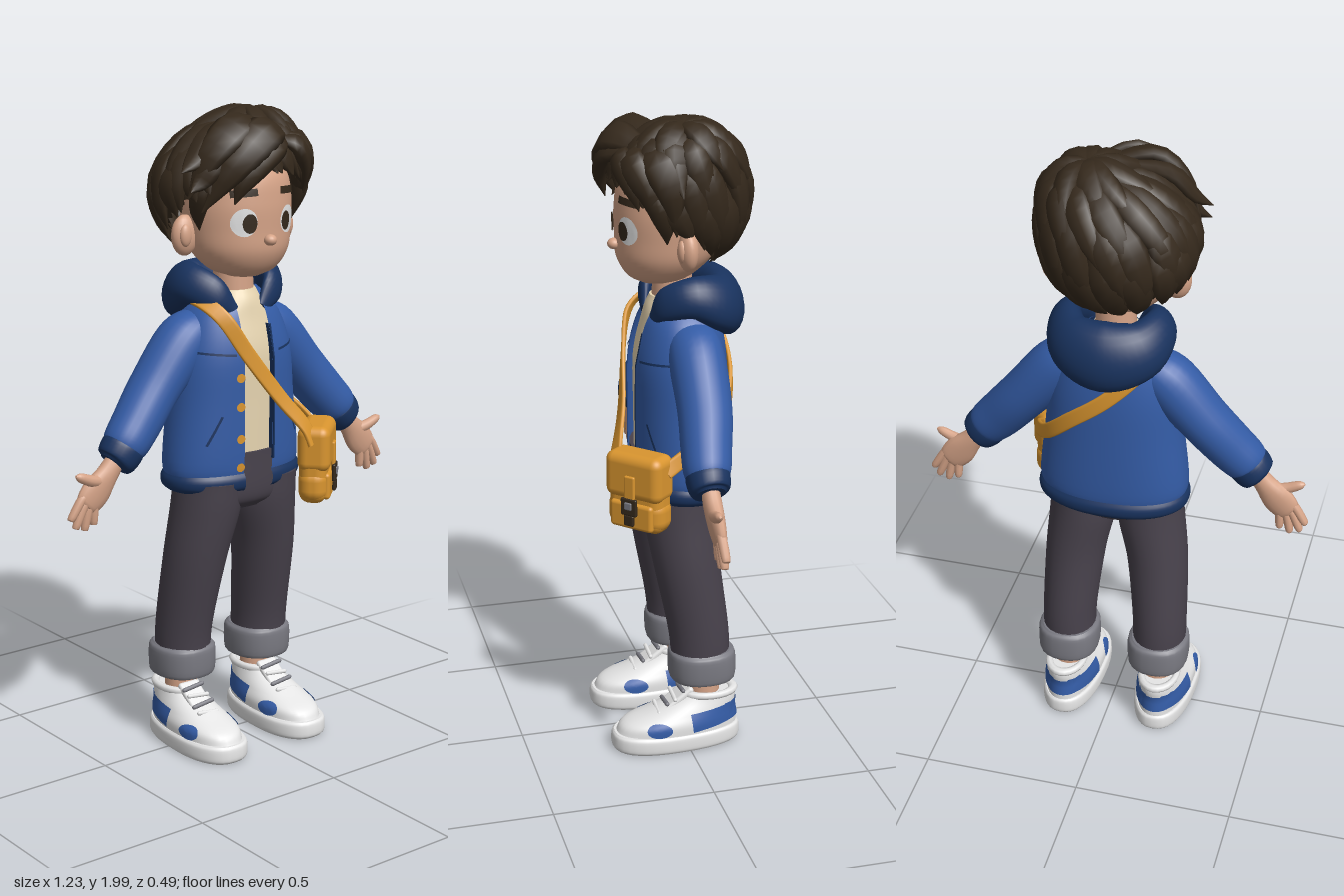
import * as THREE from 'three';
import { RoundedBoxGeometry } from 'three/addons/geometries/RoundedBoxGeometry.js';

const V = (x, y, z) => new THREE.Vector3(x, y, z);
const FRONT = () => V(0, 0, 1), UP = () => V(0, 1, 0);

// Sweeps an ellipse through rows of [x, y, z, radiusA, radiusB].
// flat keeps every ring level, gap leaves a slit of that half width at the front.
function sweep(rows, { n = 24, steps = 28, flat = false, ref = FRONT, gap = 0, p = 2 } = {}) {
  const path = new THREE.CatmullRomCurve3(rows.map(r => V(r[0], r[1], r[2])), false, 'catmullrom');
  const size = new THREE.CatmullRomCurve3(rows.map(r => V(r[3], r[4], 0)), false, 'catmullrom');
  const pos = [], index = [], cols = gap ? n + 1 : n;
  const pw = c => Math.sign(c) * Math.abs(c) ** (2 / p);
  for (let i = 0; i <= steps; i++) {
    const c = path.getPoint(i / steps), s = size.getPoint(i / steps);
    const t = flat ? UP() : path.getTangent(i / steps);
    const v = ref(c).clone();
    v.addScaledVector(t, -v.dot(t)).normalize();
    const u = t.clone().cross(v);
    const g = gap ? Math.asin(Math.min(0.95, gap / s.x)) : 0;
    for (let j = 0; j < cols; j++) {
      const a = Math.PI / 2 + g + (2 * Math.PI - 2 * g) * j / n;
      const q = c.clone().addScaledVector(u, pw(Math.cos(a)) * Math.max(s.x, 0.001))
        .addScaledVector(v, pw(Math.sin(a)) * Math.max(s.y, 0.001));
      pos.push(q.x, q.y, q.z);
    }
  }
  for (let i = 0; i < steps; i++) for (let j = 0; j < n; j++) {
    const k = (j + 1) % cols, a = i * cols + j, b = i * cols + k;
    index.push(a, a + cols, b, b, a + cols, b + cols);
  }
  // End caps with their own vertices, so the edge stays crisp
  if (!gap) for (const end of [0, steps]) {
    const base = pos.length / 3, c = path.getPoint(end / steps);
    pos.push(...pos.slice(end * n * 3, (end + 1) * n * 3), c.x, c.y, c.z);
    for (let j = 0; j < n; j++) {
      const a = base + j, b = base + (j + 1) % n;
      index.push(base + n, ...(end ? [b, a] : [a, b]));
    }
  }
  const geo = new THREE.BufferGeometry();
  geo.setAttribute('position', new THREE.Float32BufferAttribute(pos, 3));
  geo.setIndex(index);
  geo.computeVertexNormals();
  return geo;
}

// Lays a flat geometry onto a mesh, seen from heading angle around y
function drape(geo, target, x, y, z, angle = 0, lift = 0.004) {
  const n = V(Math.sin(angle), 0, Math.cos(angle));
  geo.rotateY(angle).translate(x, y, z);
  const ray = new THREE.Raycaster(), pos = geo.attributes.position;
  target.updateMatrixWorld();
  for (let i = 0; i < pos.count; i++) {
    const o = V().fromBufferAttribute(pos, i).add(n);
    ray.set(o, n.clone().negate());
    const hit = ray.intersectObject(target)[0];
    if (hit) o.copy(hit.point).addScaledVector(n, lift);
    else o.sub(n);
    pos.setXYZ(i, o.x, o.y, o.z);
  }
  geo.computeVertexNormals();
  return geo;
}
const oval = (a, b) => new THREE.RingGeometry(0.001, 1, 24, 5).scale(a, b, 1);
const plate = (w, h, roll = 0) => new THREE.PlaneGeometry(w, h, 10, 4).rotateZ(roll);

export function createModel() {
  const model = new THREE.Group();
  const mat = (name, color, side = THREE.FrontSide) => {
    const m = new THREE.MeshStandardMaterial({ color, side });
    m.name = name;
    return m;
  };
  const skin = mat('skin', 0xd6a488), hair = mat('dark brown', 0x35291c, THREE.DoubleSide);
  const blue = mat('jacket blue', 0x345ca6, THREE.DoubleSide), navy = mat('navy', 0x19335f, THREE.DoubleSide);
  const cream = mat('cream', 0xe8d6b2), charcoal = mat('charcoal', 0x48424c), grey = mat('grey', 0x7a7a82);
  const white = mat('white', 0xe6e6e6), tan = mat('tan leather', 0xd9952f, THREE.DoubleSide);
  const add = (name, geo, m, parent = model) => {
    const mesh = new THREE.Mesh(geo, m);
    mesh.name = name;
    parent.add(mesh);
    return mesh;
  };
  const ball = (a, b, c, x, y, z) => new THREE.SphereGeometry(1, 20, 14).scale(a, b, c).translate(x, y, z);

  // Head and face
  const head = add('head', sweep([[0, 1.49, .05, .05, .05], [0, 1.515, .042, .11, .1], [0, 1.57, .026, .153, .145],
    [0, 1.64, .015, .168, .16], [0, 1.72, .01, .173, .165], [0, 1.8, 0, .16, .16], [0, 1.87, 0, .1, .1]],
    { flat: true, n: 36, steps: 36 }), skin);
  add('neck', new THREE.CylinderGeometry(.058, .065, .18, 20).translate(0, 1.47, 0), skin);
  add('nose', ball(.02, .017, .02, 0, 1.61, .18), skin);
  for (const s of [1, -1]) {
    add('eyeWhite', drape(oval(.037, .042), head, s * .08, 1.665, .1), white);
    add('iris', drape(oval(.021, .029), head, s * .067, 1.662, .1, 0, .007), hair);
    add('eyebrow', drape(plate(.075, .022, -s * .06), head, s * .08, 1.752, .1, 0, .008), hair);
    add('ear', ball(.045, .062, .03, s * .183, 1.62, 0), skin);
    add('earHollow', ball(.02, .034, .014, s * .195, 1.622, .022), skin);
  }

  // Hair: a cap whose hairline drops from forehead to nape, covered in layered locks
  const hairline = az => 1.95 - .7 * Math.cos(az);
  const scalp = (az, pol, k = 1) => V(-.014 + .22 * k * Math.sin(pol) * Math.sin(az) + .09 * Math.max(0, Math.cos(pol)) ** 1.5,
    1.752 + .218 * k * Math.cos(pol), -.015 + .205 * k * Math.sin(pol) * Math.cos(az));
  const cap = new THREE.SphereGeometry(1, 40, 24), cp = cap.attributes.position;
  for (let i = 0; i < cp.count; i++) {
    const az = Math.atan2(cp.getX(i), cp.getZ(i)), f = Math.acos(THREE.MathUtils.clamp(cp.getY(i), -1, 1)) / Math.PI;
    cp.setXYZ(i, ...scalp(az, f * hairline(az), .98).toArray());
  }
  cap.computeVertexNormals();
  add('hairCap', cap, hair);
  const locks = new THREE.Group();
  locks.name = 'hairLocks';
  model.add(locks);
  const outward = c => c.clone().sub(V(0, 1.74, 0));
  const lock = (pts, w, thick = .025) => add('lock', sweep(pts.map((q, i) => {
    const k = [.5, 1, .8, .04][i];
    return [...q, w * k, thick * k];
  }), { n: 8, steps: 10, ref: outward }), hair, locks);
  let seed = 7;
  const rnd = () => (seed = (seed * 16807) % 2147483647) / 2147483647;
  for (const [count, from, to, w] of [[17, 1.3, 2.8, .05], [15, .8, 2.1, .048], [14, .35, 1.5, .045], [9, -.12, .9, .042]])
    for (let i = 0; i < count; i++) {
      const az = (i + rnd() * .5) / count * Math.PI * 2;
      const end = Math.min(to + rnd() * .3, hairline(az + .35) + .08);
      const start = Math.min(from, end - .7);
      lock([0, .35, .7, 1].map(f => {
        const pol = start + (end - start) * f;
        return scalp(az + .35 * f, pol, [.97, 1.01, 1.03, 1.09][Math.round(f * 3)]).toArray();
      }), w);
    }
  // Side-swept fringe, flicks and sideburns
  [[[.08, 1.92, .12], [-.02, 1.93, .18], [-.13, 1.84, .18], [-.2, 1.7, .11], .06],
    [[.07, 1.9, .15], [-.01, 1.885, .2], [-.1, 1.805, .195], [-.13, 1.725, .175], .045],
    [[.06, 1.94, .05], [-.08, 1.95, .13], [-.18, 1.87, .13], [-.235, 1.74, .09], .06],
    [[-.02, 1.95, .04], [-.14, 1.92, .08], [-.21, 1.85, .09], [-.265, 1.82, .1], .045],
    [[-.1, 1.9, .12], [-.17, 1.84, .13], [-.21, 1.79, .12], [-.255, 1.765, .13], .035],
    [[.09, 1.91, .13], [.14, 1.88, .155], [.185, 1.8, .12], [.18, 1.69, .09], .045],
    [[.1, 1.92, .07], [.18, 1.89, .09], [.22, 1.8, .06], [.205, 1.67, .04], .05],
    [[.06, 1.9, .16], [.105, 1.88, .18], [.145, 1.81, .16], [.155, 1.74, .14], .038],
    [[.05, 1.95, -.02], [.13, 1.95, .03], [.2, 1.88, .04], [.245, 1.79, .03], .05],
    [[-.18, 1.8, .09], [-.19, 1.76, .09], [-.185, 1.7, .07], [-.172, 1.64, .06], .035],
    [[.18, 1.8, .09], [.19, 1.76, .09], [.185, 1.7, .07], [.172, 1.64, .06], .035],
  ].forEach(f => lock(f.slice(0, 4), f[4]));

  // Shirt, open jacket and hem band
  add('shirt', sweep([[0, .915, -.01, .19, .125], [0, 1.1, -.01, .19, .127], [0, 1.25, -.01, .18, .127],
    [0, 1.36, -.01, .14, .105], [0, 1.41, 0, .09, .085], [0, 1.445, 0, .068, .07]], { flat: true }), cream);
  const jacket = add('jacket', sweep([[0, .86, -.015, .225, .135], [0, .92, -.015, .235, .145], [0, 1.1, -.015, .215, .147],
    [0, 1.25, -.015, .2, .145], [0, 1.36, -.02, .165, .125], [0, 1.42, -.025, .115, .1], [0, 1.45, -.025, .08, .08]],
    { flat: true, gap: .047, n: 48, p: 2.2 }), blue);
  add('hemBand', sweep([[0, .83, -.015, .222, .136], [0, .845, -.015, .238, .148], [0, .87, -.015, .24, .15],
    [0, .89, -.015, .228, .14]], { flat: true, gap: .045, n: 48, steps: 10, p: 2.2 }), navy);
  for (const y of [1.19, 1.1, 1, .91]) add('button', drape(oval(.014, .014), jacket, -.071, y, .1, 0, .006), tan);
  for (const s of [1, -1]) {
    add('chestPocketSeam', drape(plate(.11, .007, s * .1), jacket, s * .135, 1.265, .1), navy);
    add('sidePocketSeam', drape(plate(.1, .007, -s * 1.1), jacket, s * .15, 1.03, .1), navy);
  }
  add('frontEdge', drape(plate(.012, .42), jacket, .055, 1.13, .1), navy);
  // Lowered hood wrapped round the neck, leaning in towards the top
  const hoodSide = [[.055, 1.385, .075, .01, .02], [.112, 1.44, .05, .026, .05], [.145, 1.465, -.03, .044, .064], [.105, 1.435, -.12, .058, .09]];
  add('hood', sweep([...hoodSide.map(([x, ...r]) => [-x, ...r]), [0, 1.415, -.15, .068, .108], ...hoodSide.reverse()],
    { ref: c => V(-c.x * 3, 1, -c.z * 1.5), steps: 48 }), navy);

  // Arms and hands
  for (const s of [1, -1]) {
    const limb = (name, rows, m, o) => add(name, sweep(rows.map(([x, ...r]) => [s * x, ...r]), o), m);
    limb('sleeve', [[.1, 1.35, -.03, .05, .07], [.17, 1.29, -.03, .085, .085], [.28, 1.165, -.025, .079, .082],
      [.36, 1.07, -.008, .076, .076], [.41, 1.015, .003, .07, .07], [.425, .995, .004, .055, .055]], blue);
    limb('cuff', [[.41, 1.015, .004, .055, .055], [.418, 1.005, .004, .068, .066], [.445, .972, .005, .063, .061],
      [.455, .962, .005, .045, .045]], navy, { steps: 12 });
    limb('palm', [[.44, .98, .004, .03, .027], [.475, .935, .004, .036, .028], [.515, .888, .003, .05, .024],
      [.55, .85, .002, .042, .018], [.555, .845, .002, .02, .01]], skin, { n: 14, steps: 14 });
    [[.572, .865, .604, .815], [.56, .85, .588, .788], [.543, .842, .558, .778], [.522, .85, .526, .79]].forEach(([x, y, tx, ty]) =>
      limb('finger', [[x - .02, y + .02, .003, .014, .014], [x, y, .003, .0145, .015], [tx, ty, 0, .012, .013],
        [tx + (tx - x) * .08, ty + (ty - y) * .08, 0, .003, .003]], skin, { n: 10, steps: 10 }));
    limb('thumb', [[.495, .915, .008, .02, .018], [.54, .925, .014, .018, .016], [.58, .942, .016, .014, .013],
      [.595, .948, .016, .004, .004]], skin, { n: 10, steps: 10 });
  }

  // Trousers, standing a touch to the right
  add('hips', sweep([[-.004, .765, .006, .1, .08], [-.004, .81, .006, .19, .115], [0, .95, 0, .2, .125]], { flat: true, p: 2.3 }), charcoal);
  for (const s of [1, -1]) {
    const lx = s * .151 - .009;
    add('trouserLeg', sweep([[lx, .25, -.055, .086, .092], [lx, .38, -.048, .087, .096], [s * .135 - .007, .6, -.014, .097, .105],
      [s * .11 - .004, .76, .004, .107, .115], [s * .106, .86, .01, .102, .118]], { flat: true }), charcoal);
    add('turnUp', sweep([[lx, .215, -.06, .082, .088], [lx, .228, -.06, .097, .105], [lx, .3, -.058, .099, .106],
      [lx, .318, -.057, .086, .095]], { flat: true, steps: 14, p: 2.3 }), grey);
    add('ankle', new THREE.CylinderGeometry(.05, .052, .14, 18).translate(lx, .19, -.065), skin);

    // Shoes, wider at the toe
    const x = s * .158 - .011;
    const taper = geo => {
      const q = geo.attributes.position;
      for (let i = 0; i < q.count; i++) q.setX(i, x + (q.getX(i) - x) * (.96 + .5 * q.getZ(i)));
      geo.computeVertexNormals();
      return geo;
    };
    add('sole', taper(sweep([[x, 0, .028, .095, .2], [x, .012, .028, .101, .208], [x, .045, .028, .101, .207], [x, .056, .028, .094, .2]],
      { flat: true, p: 2.4, steps: 12, n: 36 })), white);
    const upper = add('shoeUpper', taper(sweep([[x, .05, .026, .092, .198], [x, .085, .015, .091, .185], [x, .115, -.022, .08, .143],
      [x, .145, -.06, .068, .108], [x, .17, -.08, .06, .086]], { flat: true, p: 2.2, n: 36 })), white);
    add('shoeCollar', new THREE.TorusGeometry(.06, .012, 8, 24).rotateX(Math.PI / 2).scale(.95, 1, 1.35).translate(x, .168, -.08), white);
    add('tongue', new RoundedBoxGeometry(.075, .022, .13, 2, .01).rotateX(.65).translate(x, .148, .03), white);
    for (let i = 0; i < 4; i++) add('lace', new THREE.CapsuleGeometry(.007, .07, 3, 8).rotateZ(Math.PI / 2 + (i % 2 ? .12 : -.12))
      .translate(x, .122 + i * .02, .09 - i * .026), i % 2 ? grey : white);
    for (const side of [1, -1]) {
      const a = side * Math.PI / 2;
      add('heelPanel', drape(plate(.16, .058, side * .1), upper, x, .1, -.085, a), blue);
      add('sidePatch', drape(oval(.04, .022), upper, x, .079, .1, a), blue);
    }
    add('heelTab', drape(plate(.11, .058), upper, x, .105, -.1, Math.PI), blue);
  }

  // Satchel, turned towards the left hip
  const bag = new THREE.Group();
  bag.name = 'satchel';
  bag.position.set(.207, .893, .155);
  bag.rotation.set(0, .74, 0);
  model.add(bag);
  const box = (name, w, h, d, r, x, y, z, m) => add(name, new RoundedBoxGeometry(w, h, d, 4, r).translate(x, y, z), m, bag);
  box('bagBody', .19, .225, .088, .035, 0, -.008, 0, tan);
  box('bagBase', .2, .11, .092, .04, 0, -.062, 0, tan);
  box('bagFlap', .198, .145, .102, .03, 0, .055, .003, tan);
  box('frontPocket', .15, .085, .025, .012, 0, -.065, .042, tan);
  box('flapStrap', .036, .13, .012, .005, 0, .0, .056, tan);
  box('buckle', .056, .055, .012, .005, 0, -.032, .06, hair);
  box('bucklePlate', .026, .024, .014, .004, 0, -.028, .063, grey);
  box('buckleTip', .034, .035, .012, .005, 0, -.075, .06, hair);

  // Shoulder strap, flat against the body
  add('shoulderStrap', sweep([[.143, .97, .217], [.12, 1.03, .202], [.05, 1.12, .172], [-.05, 1.26, .142], [-.115, 1.37, .108], [-.145, 1.42, .03],
    [-.145, 1.42, -.06], [-.105, 1.36, -.135], [-.01, 1.27, -.168], [.1, 1.18, -.158], [.19, 1.09, -.105], [.25, 1.03, -.005],
    [.27, .97, .09]].map(q => [...q, .024, .007]), { n: 16, steps: 72, p: 4, ref: c => V(c.x * .6, Math.max(0, c.y - 1.36) * 2, c.z) }), tan);
  return model;
}
